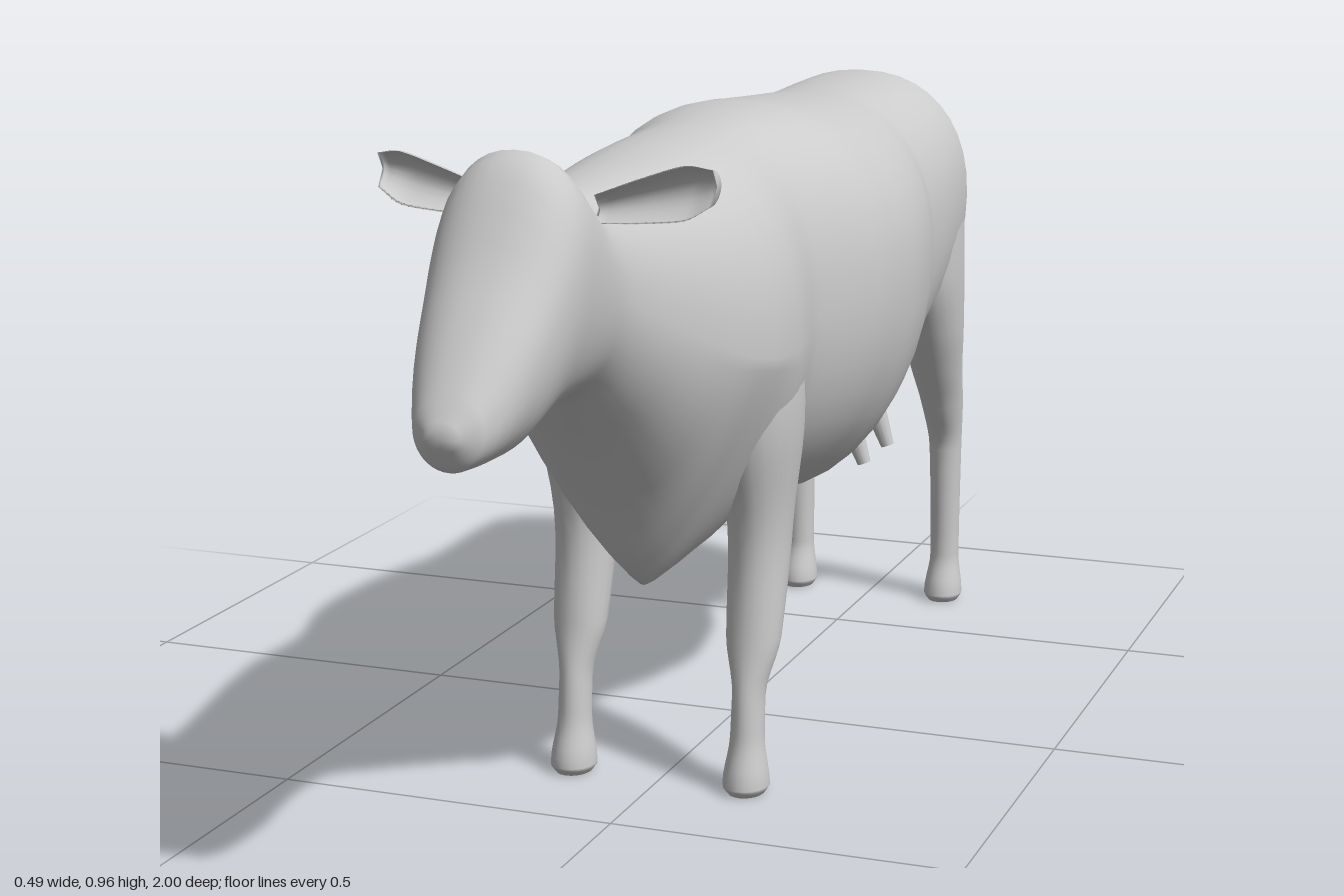
import * as THREE from 'three';

const grey = new THREE.MeshStandardMaterial({ color: 0xcccccc });

// Smooth, non-overshooting interpolation of section rows over their first column
function refine(rows, steps) {
  const slope = (i, k) => (rows[i + 1][k] - rows[i][k]) / (rows[i + 1][0] - rows[i][0]);
  const tangent = (i, k) => {
    if (i === 0) return slope(0, k);
    if (i === rows.length - 1) return slope(i - 1, k);
    const a = slope(i - 1, k), b = slope(i, k);
    return a * b <= 0 ? 0 : (2 * a * b) / (a + b);
  };
  const out = [];
  for (let i = 0; i < rows.length - 1; i++) {
    const h = rows[i + 1][0] - rows[i][0];
    for (let s = 0; s < steps; s++) {
      const t = s / steps, t2 = t * t, t3 = t2 * t;
      out.push(rows[i].map((p, k) => k === 0 ? p + h * t :
        p * (2 * t3 - 3 * t2 + 1) + rows[i + 1][k] * (3 * t2 - 2 * t3) +
        h * (tangent(i, k) * (t3 - 2 * t2 + t) + tangent(i + 1, k) * (t3 - t2))));
    }
  }
  out.push(rows[rows.length - 1]);
  return out;
}

// Closed skin through rings; ring(row, cos, sin) gives one point
function loft(name, sections, ring, sides = 20, steps = 5) {
  const rows = refine(sections, steps), pos = [], idx = [];
  for (const row of rows) {
    for (let j = 0; j < sides; j++) {
      const a = (j / sides) * Math.PI * 2;
      pos.push(...ring(row, Math.cos(a), Math.sin(a)));
    }
  }
  const n = rows.length;
  for (let i = 0; i < n - 1; i++) {
    for (let j = 0; j < sides; j++) {
      const k = (j + 1) % sides, a = i * sides, b = a + sides;
      idx.push(a + j, a + k, b + j, a + k, b + k, b + j);
    }
  }
  // End caps, fanned from the ring centres
  for (const [start, flip] of [[0, true], [(n - 1) * sides, false]]) {
    const c = [0, 0, 0], id = pos.length / 3;
    for (let j = 0; j < sides; j++) for (let k = 0; k < 3; k++) c[k] += pos[(start + j) * 3 + k] / sides;
    pos.push(...c);
    for (let j = 0; j < sides; j++) {
      const p = start + j, q = start + (j + 1) % sides;
      idx.push(...(flip ? [id, q, p] : [id, p, q]));
    }
  }
  // Turn the faces outward if the enclosed volume is negative
  const v = i => new THREE.Vector3().fromArray(pos, i * 3);
  let volume = 0;
  for (let i = 0; i < idx.length; i += 3) volume += v(idx[i]).dot(v(idx[i + 1]).cross(v(idx[i + 2])));
  if (volume < 0) idx.reverse();
  const g = new THREE.BufferGeometry();
  g.setAttribute('position', new THREE.Float32BufferAttribute(pos, 3));
  g.setIndex(idx);
  g.computeVertexNormals();
  const mesh = new THREE.Mesh(g, grey);
  mesh.name = name;
  return mesh;
}

// Trunk, neck and head: z, bottom, widest height, top, half width
const trunk = [
  [-0.695, 0.70, 0.76, 0.82, 0.07],
  [-0.685, 0.63, 0.74, 0.86, 0.12],
  [-0.66, 0.56, 0.72, 0.89, 0.16],
  [-0.60, 0.48, 0.72, 0.92, 0.185],
  [-0.35, 0.395, 0.68, 0.915, 0.203],
  [-0.25, 0.345, 0.68, 0.92, 0.228],
  [-0.10, 0.33, 0.67, 0.93, 0.246],
  [0.00, 0.35, 0.67, 0.937, 0.24],
  [0.18, 0.38, 0.66, 0.927, 0.19],
  [0.30, 0.32, 0.64, 0.92, 0.204],
  [0.36, 0.303, 0.64, 0.915, 0.2],
  [0.42, 0.335, 0.65, 0.91, 0.188],
  [0.50, 0.45, 0.68, 0.905, 0.163],
  [0.60, 0.575, 0.73, 0.9, 0.124],
  [0.68, 0.64, 0.78, 0.9, 0.1],
  [0.775, 0.632, 0.82, 0.965, 0.1],
  [0.88, 0.607, 0.74, 0.835, 0.083],
  [0.975, 0.61, 0.66, 0.707, 0.047],
  [1.00, 0.645, 0.655, 0.668, 0.018],
];

// Rounded section whose underside pinches to a keel at the brisket
const power = (v, n) => Math.sign(v) * Math.pow(Math.abs(v), 2 / n);
function trunkRing([z, low, mid, high, w], c, s) {
  const n = s < 0 ? 2.05 - 0.8 * Math.exp(-(((z - 0.39) / 0.13) ** 2)) : 2.25;
  return [w * power(c, n), mid + power(s, n) * (s < 0 ? mid - low : high - mid), z];
}

// Legs: y, centre z, half width, half depth
const frontLeg = [
  [0, 0.317, 0.026, 0.032],
  [0.012, 0.318, 0.033, 0.039],
  [0.08, 0.313, 0.024, 0.029],
  [0.14, 0.307, 0.023, 0.03],
  [0.22, 0.287, 0.039, 0.038],
  [0.38, 0.26, 0.045, 0.06],
  [0.55, 0.27, 0.062, 0.095],
  [0.68, 0.28, 0.055, 0.09],
  [0.78, 0.28, 0.02, 0.05],
];
const hindLeg = [
  [0, -0.685, 0.025, 0.03],
  [0.012, -0.685, 0.032, 0.037],
  [0.08, -0.692, 0.024, 0.026],
  [0.27, -0.687, 0.027, 0.029],
  [0.35, -0.663, 0.034, 0.045],
  [0.42, -0.625, 0.042, 0.053],
  [0.50, -0.59, 0.052, 0.07],
  [0.60, -0.56, 0.057, 0.105],
  [0.72, -0.545, 0.053, 0.125],
  [0.82, -0.54, 0.02, 0.08],
];

// Ears: x, half height, half depth
const ear = [
  [0.07, 0.018, 0.02],
  [0.14, 0.029, 0.03],
  [0.19, 0.034, 0.034],
  [0.226, 0.022, 0.02],
];

// Tail: z, y, half width, half thickness
const tail = [
  [-0.665, 0.86, 0.022, 0.02],
  [-0.70, 0.79, 0.018, 0.016],
  [-0.745, 0.67, 0.012, 0.012],
  [-0.825, 0.55, 0.011, 0.011],
  [-0.95, 0.42, 0.018, 0.016],
  [-0.992, 0.392, 0.014, 0.011],
];

export function createModel() {
  const model = new THREE.Group();
  model.name = 'cow';
  model.add(loft('trunkAndHead', trunk, trunkRing, 40));

  for (const side of [1, -1]) {
    const label = side > 0 ? 'left' : 'right';
    const legRing = ([y, z, rx, rz], c, s) => [side * (0.132 + rx * c), y, z + rz * s];
    model.add(loft(label + 'FrontLeg', frontLeg, legRing));
    model.add(loft(label + 'HindLeg', hindLeg, legRing));

    // The forward half of each ear ring folds back to make a cup
    model.add(loft(label + 'Ear', ear, ([x, ry, rz], c, s) =>
      [side * x, 0.869 + 0.22 * x + ry * c, 0.688 + rz * (s > 0 ? -0.45 * s : s) + 0.5 * rz * c * c]));

    // Teats splay outward
    for (const z of [-0.43, -0.56]) {
      const teat = new THREE.Mesh(new THREE.CylinderGeometry(0.02, 0.011, 0.08, 12), grey);
      teat.name = label + 'Teat';
      teat.position.set(side * 0.053, 0.333, z);
      teat.rotation.z = side * 0.35;
      model.add(teat);
    }
  }

  const udder = new THREE.Mesh(new THREE.SphereGeometry(1, 28, 18), grey);
  udder.name = 'udder';
  udder.scale.set(0.095, 0.11, 0.135);
  udder.position.set(0, 0.45, -0.485);
  model.add(udder);

  model.add(loft('tail', tail, ([z, y, w, t], c, s) => [w * c, y + 0.6 * t * s, z - 0.8 * t * s], 12));
  return model;
}
